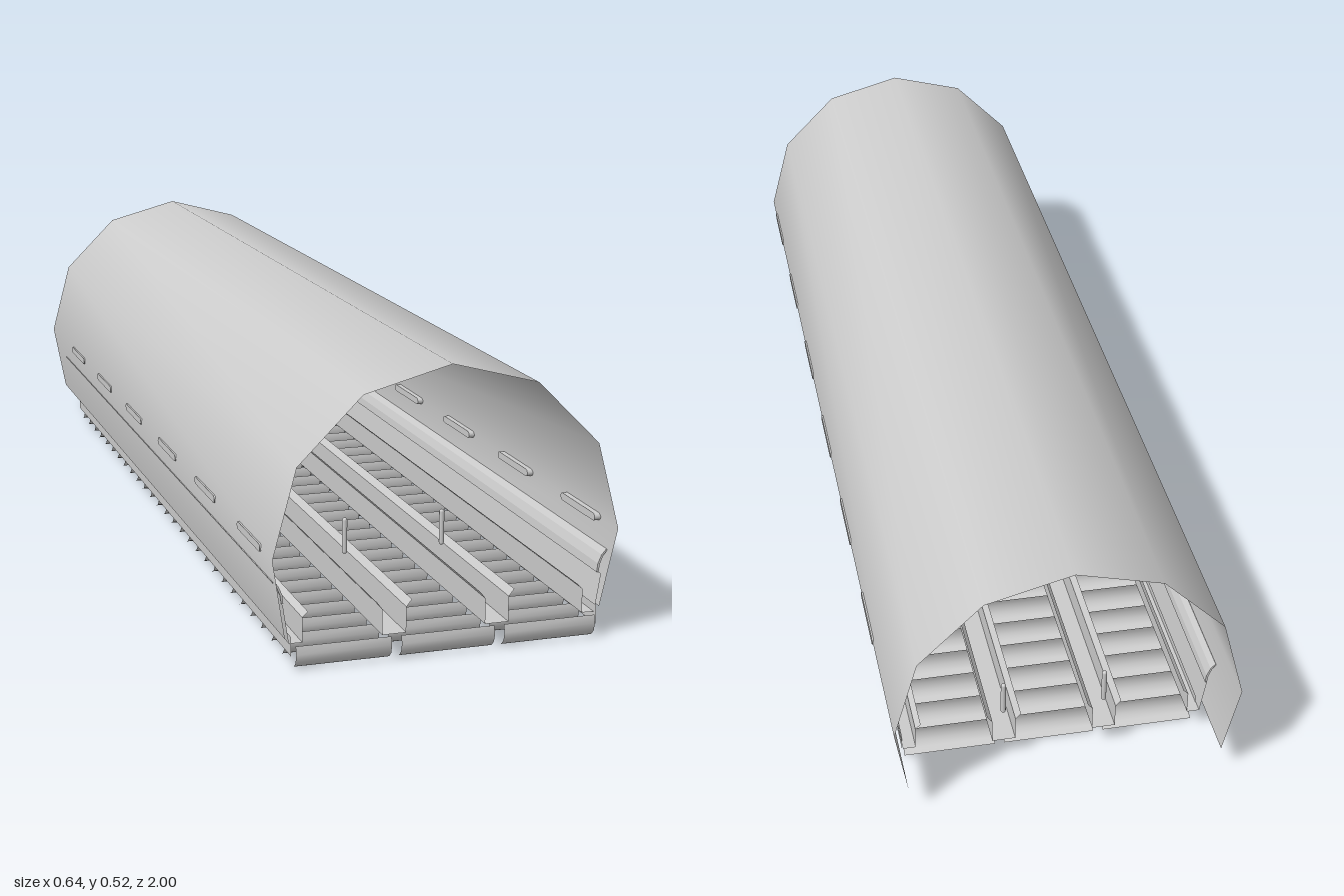
import * as THREE from 'three';

const grey = new THREE.MeshStandardMaterial({ color: 0xcccccc });
const sheetMat = new THREE.MeshStandardMaterial({ color: 0xcccccc, side: THREE.DoubleSide });

// Thin sheet: sweeps an open profile through two or more stations.
// at(p, station) returns [x, y, z] for a profile point.
function sheet(name, profile, stations, at, smooth) {
  const pos = [], index = [], n = profile.length;
  for (const s of stations) for (const p of profile) pos.push(...at(p, s));
  for (let j = 0; j < stations.length - 1; j++) {
    for (let i = 0; i < n - 1; i++) {
      const a = j * n + i, b = a + n;
      index.push(a, b, a + 1, b, b + 1, a + 1);
    }
  }
  let geo = new THREE.BufferGeometry();
  geo.setAttribute('position', new THREE.Float32BufferAttribute(pos, 3));
  geo.setIndex(index);
  if (!smooth) geo = geo.toNonIndexed();
  geo.computeVertexNormals();
  const mesh = new THREE.Mesh(geo, sheetMat);
  mesh.name = name;
  return mesh;
}

const alongZ = ([x, y], z) => [x, y, z];
const alongX = ([z, y], x) => [x, y, z];

// Flat outline with rounded ends, w long and h high
function pill(w, h) {
  const r = h / 2, s = new THREE.Shape();
  s.moveTo(-w / 2 + r, -r);
  s.lineTo(w / 2 - r, -r);
  s.absarc(w / 2 - r, 0, r, -Math.PI / 2, Math.PI / 2, false);
  s.lineTo(-w / 2 + r, r);
  s.absarc(-w / 2 + r, 0, r, Math.PI / 2, Math.PI * 1.5, false);
  return s;
}

export function createModel() {
  const model = new THREE.Group();

  // Arched shell: seven of twelve circle points plus the inward-leaning skirts
  const arch = [[0.294, 0.055]];
  for (let i = 0; i <= 6; i++) {
    const a = (i * Math.PI) / 6;
    arch.push([0.32 * Math.cos(a), 0.202 + 0.32 * Math.sin(a)]);
  }
  arch.push([-0.294, 0.055]);
  model.add(sheet('shell', arch, [0.995, -1], ([x, y], z) =>
    [x, y, y < 0.1 ? z - Math.sign(z) * 0.012 : z], true));

  // Three rows of curved cross slats
  const slatProfile = [[0, 0.045], [0.004, 0.03], [0, 0.015], [-0.01, 0.005], [-0.022, 0]];
  const count = 28, first = 0.996, last = -0.82;
  for (const row of [-1, 0, 1]) {
    const rowGroup = new THREE.Group();
    rowGroup.name = 'slatRow';
    for (let i = 0; i < count; i++) {
      const cx = row * 0.192;
      const slat = sheet('slat', slatProfile, [cx - 0.087, cx + 0.087], alongX, true);
      slat.position.z = first + ((last - first) * i) / (count - 1);
      rowGroup.add(slat);
    }
    model.add(rowGroup);
  }

  // Channel rails between the rows, with flared lips
  const channel = [[-0.032, 0.105], [-0.022, 0.092], [-0.022, 0.045],
    [0.022, 0.045], [0.022, 0.092], [0.032, 0.105]];
  // Side rails under the shell's skirts
  const sideRail = [[0.252, 0.1], [0.262, 0.09], [0.262, 0.045], [0.286, 0.045], [0.297, 0.115]];
  const hanger = [[0.285, 0.025], [0.285, 0.06]];
  // Curved deflector joining the side rail to the shell
  const deflector = [[0.297, 0.115], [0.299, 0.13], [0.305, 0.145], [0.313, 0.155],
    [0.311, 0.157], [0.302, 0.147], [0.295, 0.131], [0.293, 0.115]];

  for (const side of [-1, 1]) {
    const mirror = (pts) => pts.map(([x, y]) => [side * x, y]);

    const rail = sheet('channelRail', channel, [0.985, -0.88], alongZ, false);
    rail.position.x = side * 0.096;
    model.add(rail);
    model.add(sheet('sideRail', mirror(sideRail), [0.98, -0.87], alongZ, false));
    model.add(sheet('sideHanger', mirror(hanger), [0.99, -0.85], alongZ, false));

    const dGeo = new THREE.ExtrudeGeometry(
      new THREE.Shape(mirror(deflector).map(([x, y]) => new THREE.Vector2(x, y))),
      { depth: 1.84, bevelEnabled: false });
    const dMesh = new THREE.Mesh(dGeo, grey);
    dMesh.name = 'deflector';
    dMesh.position.z = -0.87;
    model.add(dMesh);

    // Round-topped posts on the channel rails
    for (const z of [0.71, -0.87]) {
      const post = new THREE.Mesh(new THREE.CapsuleGeometry(0.005, 0.06, 4, 10), grey);
      post.name = 'post';
      post.position.set(side * 0.096, 0.14, z);
      model.add(post);
    }

    // Six long rounded slot inserts through each wall
    for (let i = 0; i < 6; i++) {
      const geo = new THREE.ExtrudeGeometry(pill(0.148, 0.014),
        { depth: 0.014, bevelEnabled: false, curveSegments: 6 });
      geo.translate(0, 0, -0.007);
      geo.rotateY(Math.PI / 2);
      const slot = new THREE.Mesh(geo, grey);
      slot.name = 'slotInsert';
      slot.position.set(side * 0.3145, 0.202, 0.85 - i * 0.304);
      model.add(slot);
    }
  }
  return model;
}
